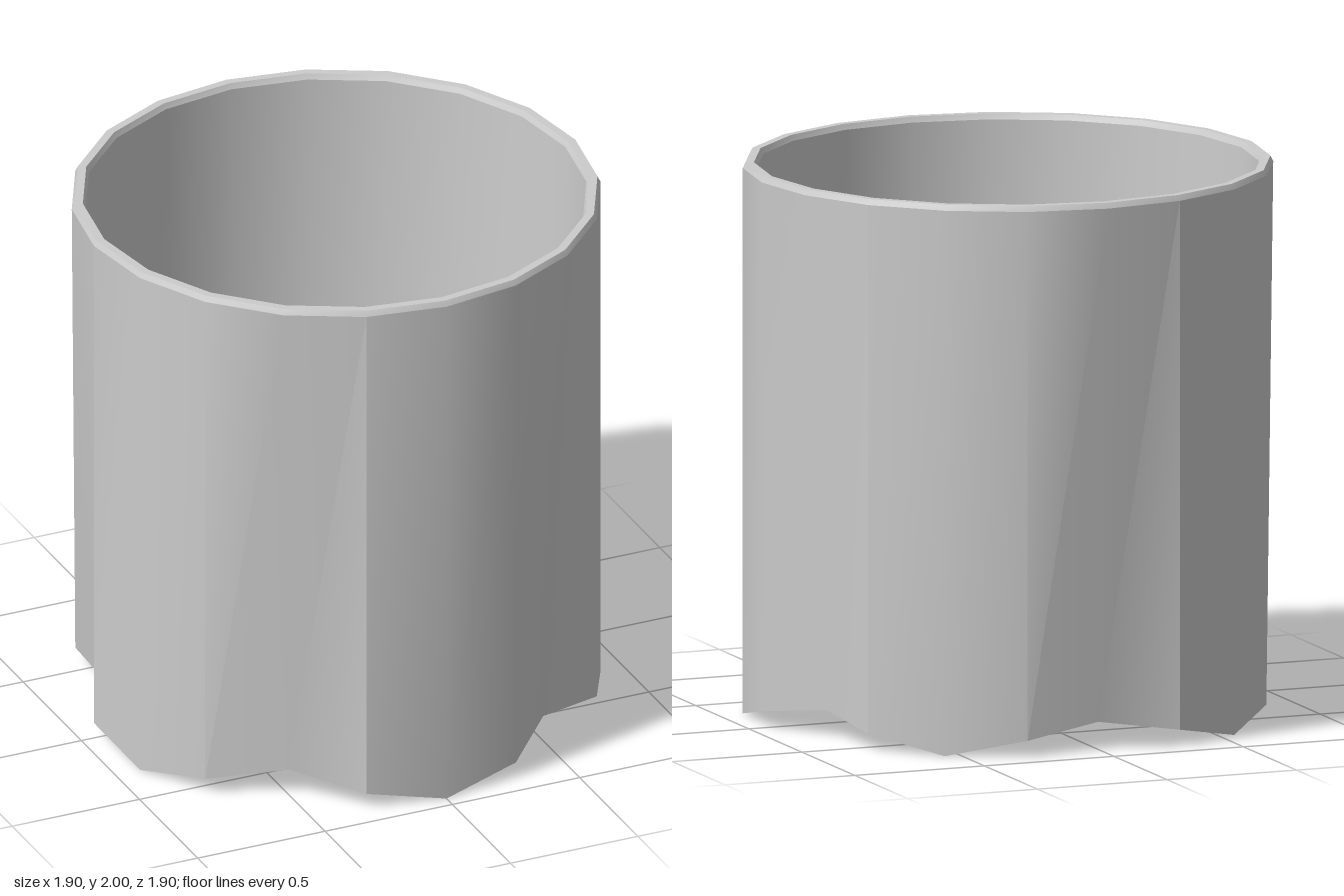
import * as THREE from 'three';
import { toCreasedNormals } from 'three/addons/utils/BufferGeometryUtils.js';
import { ConvexGeometry } from 'three/addons/geometries/ConvexGeometry.js';

const SIDES = 20;

// Closed rings joined in order; each ring gives [radius, height] for side i
function loft(rings) {
  const pos = [], idx = [];
  rings.forEach((ring) => {
    for (let i = 0; i < SIDES; i++) {
      const [r, y] = typeof ring === 'function' ? ring(i) : ring;
      const a = (i / SIDES) * Math.PI * 2;
      pos.push(r * Math.sin(a), y, r * Math.cos(a));
    }
  });
  for (let k = 0; k < rings.length - 1; k++) {
    for (let i = 0; i < SIDES; i++) {
      const j = (i + 1) % SIDES;
      const a = k * SIDES + i, b = k * SIDES + j, c = b + SIDES, d = a + SIDES;
      if (rings[k][0] !== 0) idx.push(a, b, c); // skip empty triangles at a centre
      if (rings[k + 1][0] !== 0) idx.push(a, c, d);
    }
  }
  const g = new THREE.BufferGeometry();
  g.setAttribute('position', new THREE.Float32BufferAttribute(pos, 3));
  g.setIndex(idx);
  return g;
}

// Five feet: foot tip, flank, notch, flank
const FOOT = [[0.95, 0], [0.95, 0.06], [0.85, 0.1], [0.95, 0.06]];
const footRing = (i) => FOOT[i % 4];

export function createModel() {
  const group = new THREE.Group();
  const add = (name, geometry, flat = false) => {
    const material = new THREE.MeshStandardMaterial({ color: 0xcccccc, flatShading: flat });
    const mesh = new THREE.Mesh(geometry, material);
    mesh.name = name;
    group.add(mesh);
  };
  const smooth = (rings) => toCreasedNormals(loft(rings), 0.6);

  // Cup shell
  add('outerWall', smooth([footRing, [0.95, 1.98]]));
  add('rim', smooth([[0.95, 1.98], [0.94, 2], [0.91, 2], [0.9, 1.98]]));
  add('innerWall', smooth([[0.9, 1.98], [0.84, 0.22]]));
  add('floor', loft([[0.84, 0.22], [0, 0.22]]), true);

  // Fluted underside with a small flat centre
  add('underside', loft([[0, 0.12], [0.2, 0.12], footRing]), true);

  // Faceted lump resting on the floor: upper edge, girdle and base corners
  const lump = [
    [-0.22, 0.86, 0.13], [0.13, 0.88, -0.03], [0.13, 0.83, -0.16], [0.27, 0.73, 0.07],
    [-0.4, 0.7, -0.06], [-0.28, 0.7, -0.26], [-0.1, 0.7, -0.31], [0.11, 0.68, -0.37],
    [0.31, 0.6, -0.18], [0.34, 0.6, -0.08], [0.34, 0.52, 0.14], [0.16, 0.54, 0.32],
    [0.05, 0.52, 0.36], [-0.2, 0.54, 0.34], [-0.26, 0.56, 0.28], [-0.38, 0.55, 0.07],
    [-0.3, 0.38, -0.18], [0.08, 0.38, -0.32], [0.29, 0.38, 0.1], [-0.12, 0.38, 0.3],
    [-0.17, 0.22, -0.1], [0.1, 0.22, -0.17], [0.15, 0.22, 0.1], [-0.08, 0.22, 0.16],
  ];
  add('lump', new ConvexGeometry(lump.map((p) => new THREE.Vector3(...p))), true);

  return group;
}
